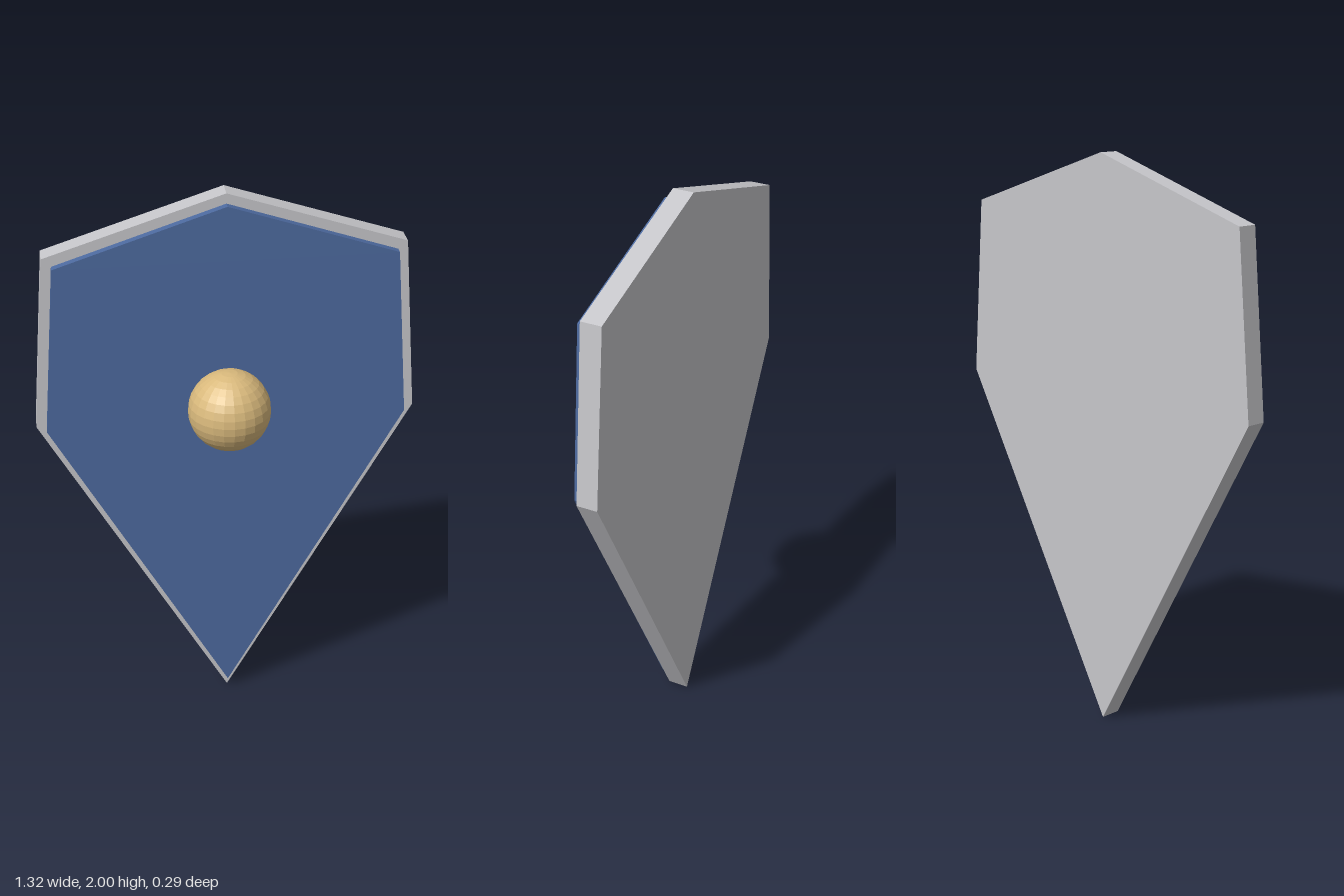
import * as THREE from 'three';

// Symmetric plate from the right half of its outline, spanning z0..z1
function plate(name, half, z0, z1, material) {
  const mirrored = half.slice(1, -1).reverse().map(([x, y]) => [-x, y]);
  const shape = new THREE.Shape([...half, ...mirrored].map(([x, y]) => new THREE.Vector2(x, y)));
  const geometry = new THREE.ExtrudeGeometry(shape, { depth: z1 - z0, bevelEnabled: false });
  geometry.translate(0, 0, z0);
  const mesh = new THREE.Mesh(geometry, material);
  mesh.name = name;
  return mesh;
}

export function createModel() {
  const steel = new THREE.MeshStandardMaterial({ color: 0xc6c6ca });
  steel.name = 'steel';
  const blue = new THREE.MeshStandardMaterial({ color: 0x4d6a9f });
  blue.name = 'blue';
  const brass = new THREE.MeshStandardMaterial({ color: 0xd9b97c, flatShading: true });
  brass.name = 'brass';

  const group = new THREE.Group();
  group.name = 'shield';

  // Steel backing, whose edge shows as a rim
  group.add(plate('backing', [[0, 0], [0.66, 1.18], [0.61, 1.803], [0, 2]], -0.147, -0.073, steel));

  // Painted front panel
  group.add(plate('frontPanel', [[0, 0.045], [0.625, 1.172], [0.578, 1.775], [0, 1.965]], -0.073, -0.045, blue));

  // Round boss in the middle
  const boss = new THREE.Mesh(new THREE.SphereGeometry(0.143, 24, 16), brass);
  boss.name = 'boss';
  boss.position.set(0, 1.245, 0.004);
  group.add(boss);

  return group;
}
